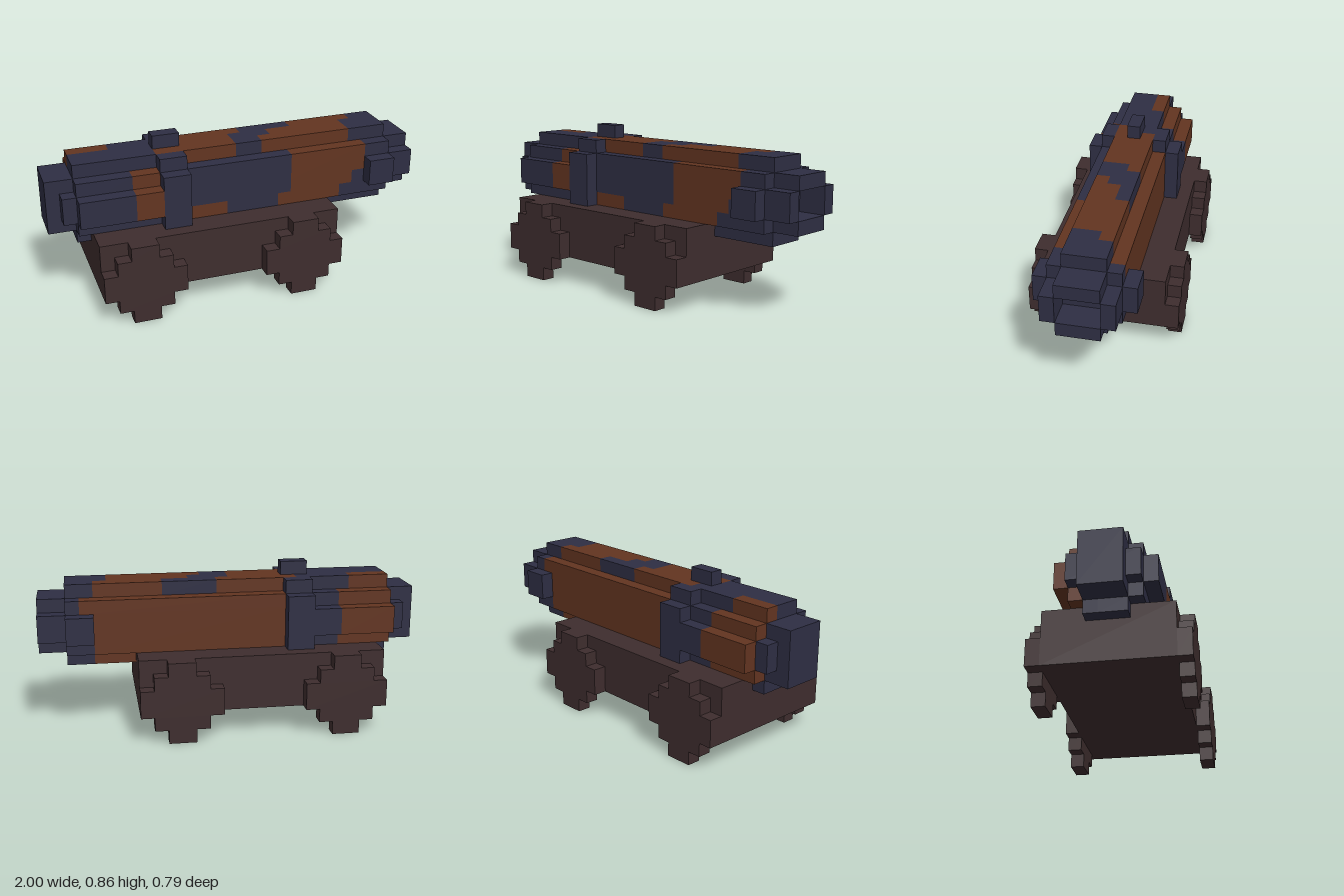
import * as THREE from 'three';

const U = 1 / 14; // size of one block

export function createModel() {
  const make = (name, color) => {
    const m = new THREE.MeshStandardMaterial({ color });
    m.name = name;
    return m;
  };
  const navy = make('darkIron', 0x2e2e43);
  const rust = make('rust', 0x623420);
  const wood = make('darkWood', 0x3e2d2e);

  const model = new THREE.Group();
  model.name = 'cannon';
  const part = (name) => {
    const g = new THREE.Group();
    g.name = name;
    model.add(g);
    return g;
  };

  // Box given by its bounds in blocks
  const box = (group, name, mat, [x0, x1], [y0, y1], [z0, z1]) => {
    const geo = new THREE.BoxGeometry((x1 - x0) * U, (y1 - y0) * U, (z1 - z0) * U);
    const mesh = new THREE.Mesh(geo, mat);
    mesh.position.set((x0 + x1) * U / 2, (y0 + y1) * U / 2, (z0 + z1) * U / 2);
    mesh.name = name;
    group.add(mesh);
  };

  // Bar along x cut at the given stops, alternating between the two metals
  const bar = (group, name, y, z, first, stops) => {
    const other = first === navy ? rust : navy;
    for (let i = 0; i < stops.length - 1; i++) {
      box(group, name, i % 2 ? other : first, [stops[i], stops[i + 1]], y, z);
    }
  };

  // Carriage
  const carriage = part('carriage');
  box(carriage, 'carriageBody', wood, [-11, 7], [2, 6], [-4.5, 4.5]);

  // Four stepped wheels
  for (const x of [-8, 4]) {
    for (const z of [-5.5, 4.5]) {
      const wheel = part('wheel');
      for (const [half, y0, y1] of [[1, 0, 6], [2, 1, 5], [3, 2, 4]]) {
        const inset = 0;
        if (half === 3) box(wheel, 'wheelMiddle', wood, [x - 3, x + 3], [y0, y1], [z, z + 1]);
        else {
          const edge = half === 1 ? 1 : 2;
          box(wheel, 'wheelLower', wood, [x - half, x + half], [edge - 1, edge], [z, z + 1 - inset]);
          box(wheel, 'wheelUpper', wood, [x - half, x + half], [6 - edge, 7 - edge], [z, z + 1 - inset]);
        }
      }
    }
  }

  // Barrel: core, then rows of patched metal around it
  const barrel = part('barrel');
  box(barrel, 'barrelCore', navy, [-14, 12], [6, 10], [-1.5, 1.5]);
  bar(barrel, 'barrelTop', [10, 11], [-1.5, -0.5], rust, [-12, -9, -5, 1, 5, 10, 12].slice(0, 6));
  box(barrel, 'barrelTop', navy, [10, 12], [10, 11], [-1.5, -0.5]);
  bar(barrel, 'barrelTop', [10, 11], [-0.5, 0.5], navy, [-12, -4, 0, 3, 9, 12]);
  bar(barrel, 'barrelTop', [10, 11], [0.5, 1.5], navy, [-12, -6, 0, 2, 9, 12]);
  bar(barrel, 'barrelBottom', [5, 6], [-1.5, -0.5], navy, [-12, 4, 10, 12]);
  box(barrel, 'barrelBottom', navy, [-12, 12], [5, 6], [-0.5, 1.5]);

  bar(barrel, 'barrelFront', [8, 10], [1.5, 2.5], navy, [-12, -8, -6, 4, 10, 12]);
  bar(barrel, 'barrelFront', [7, 8], [1.5, 2.5], navy, [-12, -8, -6, 4, 9, 12]);
  bar(barrel, 'barrelFront', [6, 7], [1.5, 2.5], navy, [-12, -4, -1, 3, 8, 12]);
  bar(barrel, 'barrelBack', [9, 10], [-2.5, -1.5], rust, [-12, -8, -4, 11, 12]);
  bar(barrel, 'barrelBack', [6, 9], [-2.5, -1.5], rust, [-12, -8, -4, 10, 12]);

  // Thicker breech with a stepped end
  const breech = part('breech');
  bar(breech, 'breechFront', [7, 9], [2.5, 3.5], navy, [-12, -8, -6]);
  bar(breech, 'breechBack', [7, 9], [-3.5, -2.5], rust, [-12, -8, -6]);
  box(breech, 'breechEnd', navy, [-13, -12], [7, 9], [-2.5, 2.5]);

  // Band and sight
  const band = part('band');
  for (const s of [-1, 1]) {
    const side = (a, b) => (s > 0 ? [a, b] : [-b, -a]);
    box(band, 'bandSide', navy, [-6, -4], [6, 10], side(2.5, 3.5));
    box(band, 'bandShoulder', navy, [-6, -4], [10, 11], side(1.5, 2.5));
  }
  box(band, 'sight', navy, [-6, -4], [11, 12], [-0.5, 0.5]);

  // Muzzle ring and lip around the open bore
  const muzzle = part('muzzle');
  for (const s of [-1, 1]) {
    const side = (a, b) => (s > 0 ? [a, b] : [-b, -a]);
    box(muzzle, 'muzzleRing', navy, [10, 12], [7, 9], side(2.5, 3.5));
    box(muzzle, 'muzzleLip', navy, [12, 14], [7, 9], side(1.5, 2.5));
  }
  box(muzzle, 'muzzleLip', navy, [12, 14], [6, 7], [-1.5, 1.5]);
  box(muzzle, 'muzzleLip', navy, [12, 14], [9, 10], [-1.5, 1.5]);

  return model;
}
